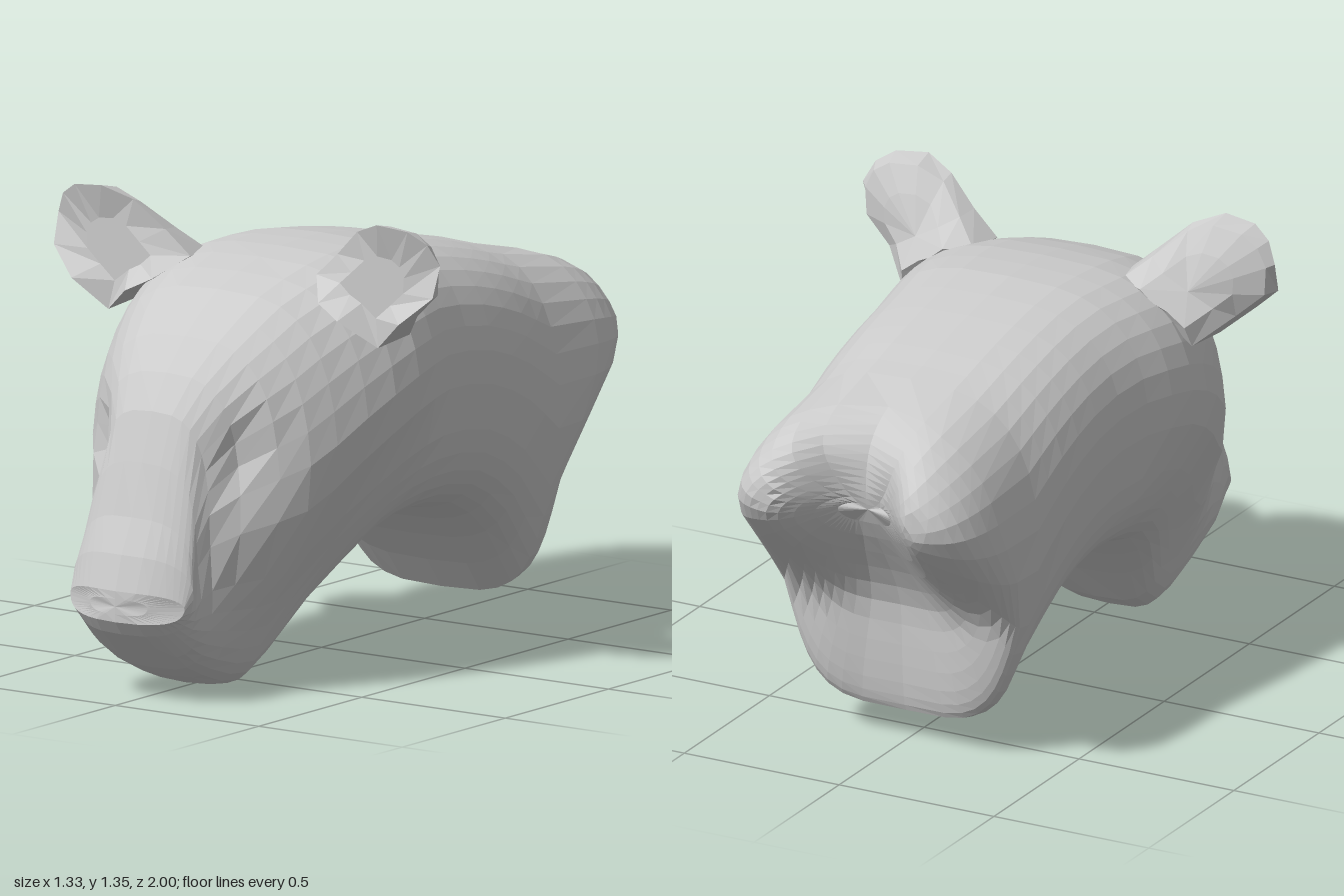
import * as THREE from 'three';

const material = new THREE.MeshStandardMaterial({ color: 0xcccccc, flatShading: true });
const lerp = THREE.MathUtils.lerp, smooth = THREE.MathUtils.smoothstep;
const bell = (d, r) => Math.exp(-(d * d) / (r * r));
const power = (v, e) => Math.sign(v) * Math.abs(v) ** e;

// Skin a list of rings (each an array of [x, y, z], clockwise from the front) running front to back.
function loft(name, rings) {
  const n = rings[0].length, index = [];
  for (let i = 0; i < rings.length - 1; i++) {
    for (let j = 0; j < n; j++) {
      const a = i * n + j, b = i * n + (j + 1) % n;
      index.push(a, b, a + n, b, b + n, a + n);
    }
  }
  const geo = new THREE.BufferGeometry();
  geo.setAttribute('position', new THREE.Float32BufferAttribute(rings.flat(2), 3));
  geo.setIndex(index);
  const flat = geo.toNonIndexed();
  flat.computeVertexNormals();
  const mesh = new THREE.Mesh(flat, material);
  mesh.name = name;
  return mesh;
}

const SEG = 36;

// Body stations: z, top, bottom, upper half width, lower half width
const stations = [
  [1.0, 0.33, 0.24, 0.2, 0.19], [0.97, 0.43, 0.2, 0.21, 0.2], [0.92, 0.53, 0.16, 0.2, 0.21],
  [0.87, 0.68, 0.12, 0.19, 0.22], [0.82, 0.82, 0.08, 0.2, 0.22], [0.75, 0.92, 0.045, 0.26, 0.225],
  [0.66, 1.01, 0.01, 0.335, 0.23], [0.58, 1.07, 0.0, 0.385, 0.235], [0.5, 1.12, 0.05, 0.42, 0.25],
  [0.4, 1.155, 0.17, 0.455, 0.31], [0.3, 1.18, 0.27, 0.48, 0.37], [0.2, 1.195, 0.35, 0.49, 0.41],
  [0.1, 1.2, 0.385, 0.475, 0.42], [0, 1.2, 0.4, 0.45, 0.42], [-0.12, 1.185, 0.4, 0.432, 0.41],
  [-0.24, 1.165, 0.38, 0.427, 0.41], [-0.34, 1.145, 0.33, 0.425, 0.4], [-0.43, 1.125, 0.26, 0.423, 0.39],
  [-0.51, 1.105, 0.17, 0.42, 0.37], [-0.58, 1.09, 0.08, 0.418, 0.36],
];

function section([z, top, bottom, upper, lower]) {
  const ring = [];
  for (let j = 0; j < SEG; j++) {
    const a = (j / SEG) * Math.PI * 2, s = Math.sin(a), c = Math.cos(a);
    // squarer underside, rounder back
    const px = power(s, c < 0 ? 0.56 : 0.62), py = power(c, c < 0 ? 0.62 : 0.8);
    const f = (py + 1) / 2;
    const x = px * lerp(lower, upper, smooth(f, 0.1, 0.6)), y = lerp(bottom, top, f);
    // eye sockets, and a nose rounded across its width
    const hollow = bell(Math.abs(x) - 0.24, 0.09) * bell(y - 0.69, 0.1) * bell(z - 0.74, 0.12);
    const round = 0.06 * smooth(z, 0.85, 1) * (x / 0.2) ** 2;
    ring.push([x * (1 - 0.12 * hollow), y, z - 0.04 * hollow - round]);
  }
  return ring;
}

function bodyRings() {
  const rings = stations.map(section);
  rings.unshift(rings[0].map(([x, y, z]) => [x * 0.5, lerp(0.285, y, 0.5), lerp(1, z, 0.3)]));
  rings.unshift(rings[0].map(() => [0, 0.285, 1]));
  const edge = rings[rings.length - 1], zEdge = -0.58;
  // rump: two haunches with a wide vertical groove between, above a steep underside
  for (const s of [0.985, 0.96, 0.92, 0.86, 0.78, 0.69, 0.6, 0.51, 0.42, 0.33, 0.24, 0.15, 0.07, 0]) {
    const depth = (1 - s ** 4) ** 0.25;
    rings.push(edge.map(([ex, ey]) => {
      const x = ex * s ** 0.6;
      const y = lerp(0.78, ey, s) - 0.07 * depth * s * smooth(ey, 0.7, 1.1);
      const outline = lerp(-0.67, -1.02, smooth(y, 0.38, 0.85));
      const groove = 1 - smooth(Math.abs(x), 0.03, 0.25);
      return [x, y, Math.max(-1, zEdge + (outline - zEdge) * (1 - 0.4 * groove) * depth)];
    }));
  }
  return rings;
}

// Ear rim, clockwise from the front
const earRim = [
  [0.22, 1.16, 0.33], [0.3, 1.23, 0.34], [0.39, 1.31, 0.37], [0.48, 1.345, 0.4], [0.58, 1.335, 0.39],
  [0.635, 1.3, 0.37], [0.665, 1.24, 0.35], [0.66, 1.15, 0.38], [0.57, 1.07, 0.42], [0.47, 0.985, 0.38],
  [0.37, 1.06, 0.44], [0.29, 1.1, 0.42],
];

function ear(name, side) {
  const inset = (s, z) => earRim.map(([x, y]) => {
    const px = lerp(0.44, x, s), py = lerp(1.15, y, s);
    return [px, py, z(px, py)];
  });
  // the back is thick at the root and thin at the tip
  const back = (near, far) => (x, y) => lerp(near, far, smooth(x + 1.2 * (y - 1.1), 0.32, 0.6));
  const mesh = loft(name, [
    inset(0, () => 0.37),
    inset(0.5, () => 0.37),
    earRim,
    inset(0.92, back(0.22, 0.33)),
    inset(0.55, back(0.17, 0.29)),
    inset(0, back(0.17, 0.28)),
  ]);
  mesh.scale.x = side;
  return mesh;
}

export function createModel() {
  const model = new THREE.Group();
  model.name = 'animal';
  model.add(loft('body', bodyRings()), ear('leftEar', 1), ear('rightEar', -1));
  return model;
}
